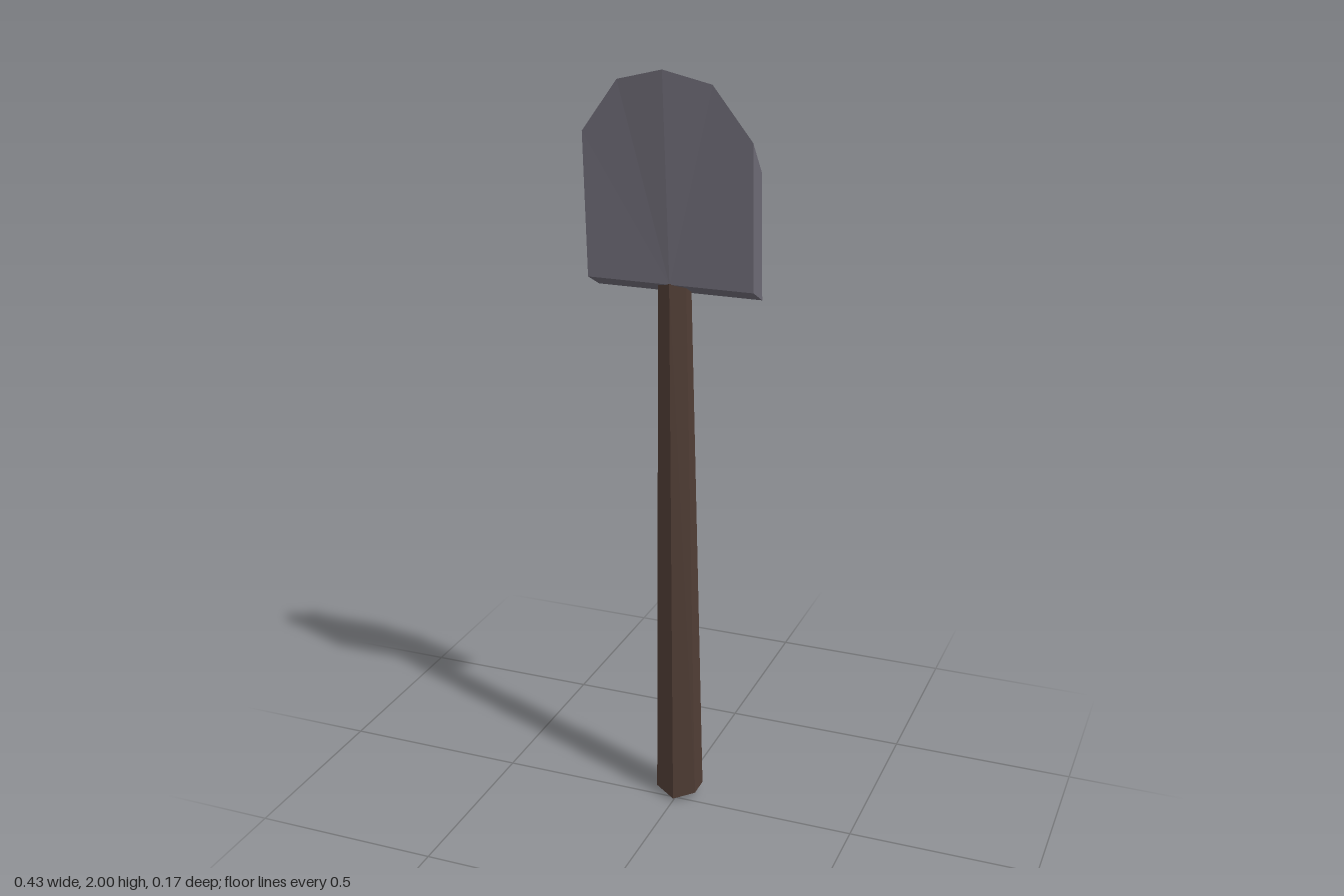
import * as THREE from 'three';

// Flat-shaded solid between two matching rings; both run counter-clockwise as seen from outside ring a.
function loft(a, b) {
  const pos = [];
  const tri = (...points) => points.forEach((p) => pos.push(...p));
  const n = a.length;
  for (let i = 0; i < n; i++) {
    const j = (i + 1) % n;
    tri(a[i], b[i], b[j]);
    tri(a[i], b[j], a[j]);
  }
  for (let i = 1; i < n - 1; i++) {
    tri(a[0], a[i], a[i + 1]);
    tri(b[0], b[i + 1], b[i]);
  }
  const geometry = new THREE.BufferGeometry();
  geometry.setAttribute('position', new THREE.Float32BufferAttribute(pos, 3));
  geometry.computeVertexNormals();
  return geometry;
}

// Mirrors the +x half of a ring; the first and last points lie on x = 0.
function mirrorRing(half) {
  const other = half.slice(1, -1).reverse().map(([x, y, z]) => [-x, y, z]);
  return [...half, ...other];
}

export function createModel() {
  const steel = new THREE.MeshStandardMaterial({ color: 0x6d6a75, flatShading: true });
  steel.name = 'steel';
  const wood = new THREE.MeshStandardMaterial({ color: 0x513e36, flatShading: true });
  wood.name = 'wood';

  const model = new THREE.Group();
  model.name = 'shovel';

  // Blade: wide front outline, with a shorter back outline that bevels up to the tip
  const bladeFront = mirrorRing([
    [0, 1.475, 0.04], [0.217, 1.475, 0.04], [0.217, 1.84, 0.061],
    [0.12, 1.97, 0.073], [0, 2, 0.086],
  ]);
  const bladeBack = mirrorRing([
    [0, 1.44, -0.027], [0.217, 1.44, -0.027], [0.217, 1.76, -0.005],
    [0.12, 1.87, 0.001], [0, 1.895, 0.016],
  ]);
  const blade = new THREE.Mesh(loft(bladeFront, bladeBack), steel);
  blade.name = 'blade';
  model.add(blade);

  // Handle: six-sided leaning shaft, thicker at the foot, with a ridged end
  const handleTop = mirrorRing([
    [0, 1.477, 0.042], [0.037, 1.477, 0.022], [0.037, 1.465, -0.014], [0, 1.46, -0.03],
  ]);
  const handleFoot = mirrorRing([
    [0, 0.006, 0.018], [0.056, 0.024, -0.005], [0.056, 0.024, -0.065], [0, 0, -0.088],
  ]);
  const handle = new THREE.Mesh(loft(handleTop, handleFoot), wood);
  handle.name = 'handle';
  model.add(handle);

  return model;
}
